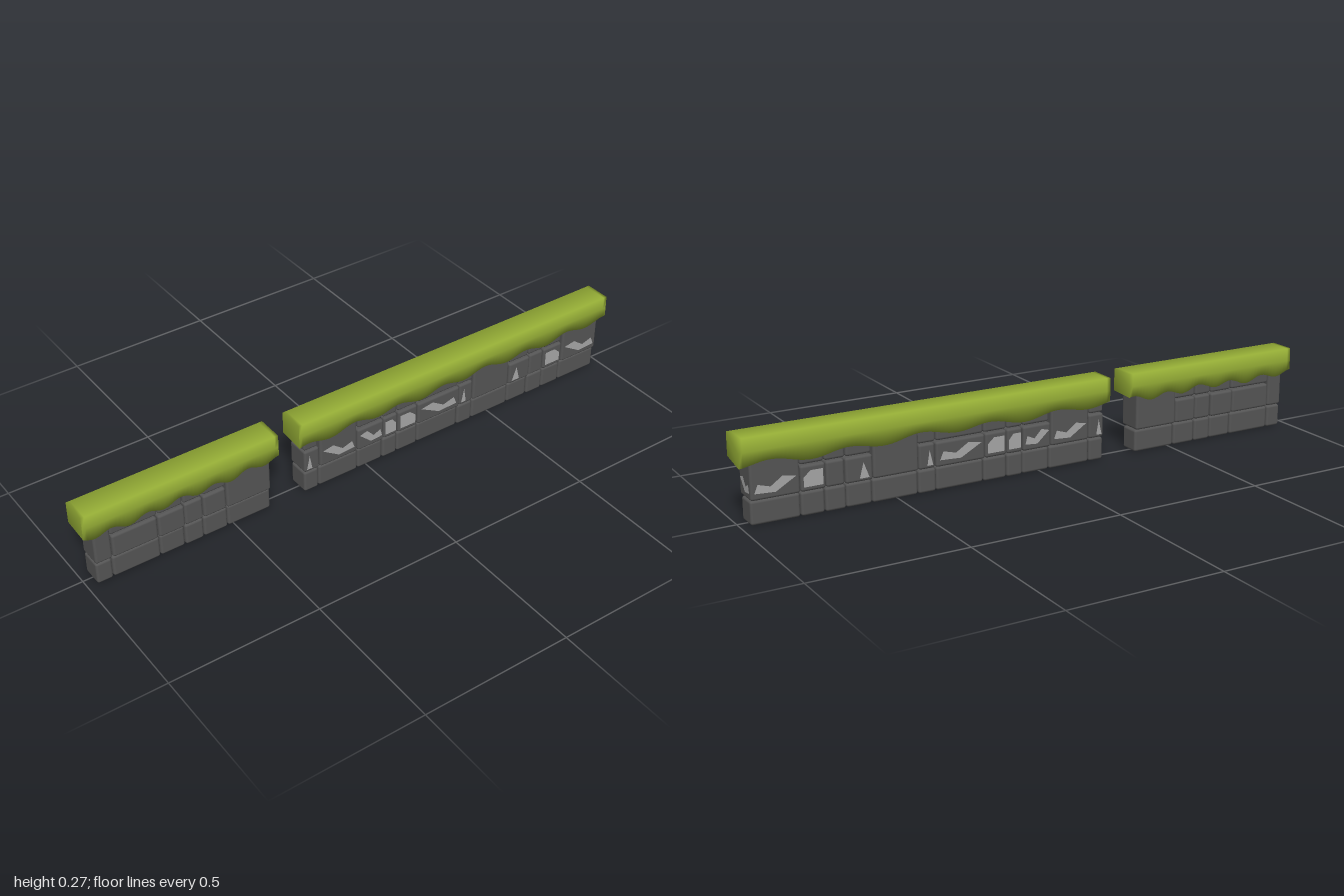
import * as THREE from 'three';
import { RoundedBoxGeometry } from 'three/addons/geometries/RoundedBoxGeometry.js';

const stoneMat = new THREE.MeshStandardMaterial({ color: 0x555555 });
const patchMat = new THREE.MeshStandardMaterial({ color: 0xa6a6a6, side: THREE.DoubleSide });
const mossMat = new THREE.MeshStandardMaterial({ color: 0x93ab35 });
const GAP = 0.0025;
const COURSE = 0.077;

// Worn patch outlines in fractions of a stone
const shard = [0.08, 0.75, 0.5, 0.25, 0.92, 0.3, 0.85, 0.65, 0.6, 0.5, 0.35, 0.85];
const slab = [0.12, 0.2, 0.88, 0.2, 0.88, 0.6, 0.6, 0.85, 0.12, 0.85];
const chip = [0.15, 0.15, 0.5, 0.15, 0.35, 0.8];

// A drip wave is { period, low }: its spacing and the x of one lowest point
const shortWall = {
  name: 'shortWall', mossStart: -1, mossEnd: -0.335,
  joints: [-0.97, -0.915, -0.755, -0.67, -0.605, -0.52, -0.365],
  tall: [0, 5], worn: [],
  front: { period: 0.115, low: -0.85 }, back: { period: 0.13, low: -0.81 }
};
const longWall = {
  name: 'longWall', mossStart: -0.26, mossEnd: 1,
  joints: [-0.24, -0.185, -0.035, 0.062, 0.12, 0.203, 0.368, 0.43, 0.583, 0.668, 0.736, 0.813, 0.97],
  tall: [1, 7, 11],
  worn: [chip, shard, shard, slab, slab, shard, chip, null, chip, null, slab, shard],
  front: { period: 0.175, low: 0.21 }, back: { period: 0.24, low: 0.06 }
};

function addStone(group, name, x0, x1, y0, y1, half) {
  const geo = new RoundedBoxGeometry(x1 - x0 - GAP, y1 - y0 - GAP, half * 2, 2, 0.008);
  const stone = new THREE.Mesh(geo, stoneMat);
  stone.position.set((x0 + x1) / 2, (y0 + y1) / 2, 0);
  stone.name = name;
  group.add(stone);
}

// Flat polygon from fractions, as wide as asked and one course high
function addPatch(group, outline, width, x, z, turn = 0) {
  const points = [];
  for (let i = 0; i < outline.length; i += 2) {
    points.push(new THREE.Vector2(outline[i] * width, outline[i + 1] * COURSE));
  }
  const patch = new THREE.Mesh(new THREE.ShapeGeometry(new THREE.Shape(points)), patchMat);
  patch.name = 'wornPatch';
  patch.rotation.y = turn;
  patch.position.set(x, COURSE, z);
  group.add(patch);
}

// Height of the dripping lower edge at x
function dripHeight({ period, low }, x) {
  const phase = (x - low) / period * Math.PI * 2;
  return 0.188 - 0.009 * Math.cos(phase) - 0.003 * Math.cos(phase * 0.37);
}

// Moss blanket: loops of six corners along x, with a dripping lower edge
function mossGeometry({ mossStart, mossEnd, front, back }) {
  const length = mossEnd - mossStart;
  const steps = Math.round(length / 0.0125), pos = [], index = [];
  for (let i = 0; i <= steps; i++) {
    const x = mossStart + length * i / steps;
    pos.push(x, 0.273, 0.045, x, 0.23, 0.046, x, dripHeight(front, x), 0.046);
    pos.push(x, dripHeight(back, x), -0.045, x, 0.23, -0.045, x, 0.273, -0.044);
  }
  for (let i = 0; i < steps; i++) {
    for (let j = 0; j < 6; j++) {
      const a = i * 6 + j, b = i * 6 + (j + 1) % 6;
      index.push(a, b, a + 6, b, b + 6, a + 6);
    }
  }
  // End caps, fanned from the top front corner
  const end = steps * 6;
  for (let j = 1; j < 5; j++) {
    index.push(0, j + 1, j, end, end + j, end + j + 1);
  }
  const geo = new THREE.BufferGeometry();
  geo.setAttribute('position', new THREE.Float32BufferAttribute(pos, 3));
  geo.setIndex(index);
  geo.computeVertexNormals();
  return geo;
}

function buildWall(spec) {
  const wall = new THREE.Group();
  wall.name = spec.name;
  const { joints, tall, worn } = spec;
  const last = joints.length - 1;
  // Inner joints of the middle course wander a little from the base
  const shifted = joints.map((x, i) => (i === 0 || i === last ? x : x + 0.004 * Math.sin(i * 2.3)));

  for (let i = 0; i < last; i++) {
    addStone(wall, 'baseStone', joints[i], joints[i + 1], 0, COURSE, 0.037 - (i % 3) * 0.001);

    const x0 = shifted[i], x1 = shifted[i + 1];
    const half = 0.04 + (i % 3) * 0.0015;
    const isTall = tall.includes(i);
    addStone(wall, 'middleStone', x0, x1, COURSE, isTall ? 0.22 : 0.16, half);
    if (!isTall) addStone(wall, 'upperStone', joints[i], joints[i + 1], 0.16, 0.22, 0.037);

    if (worn[i]) {
      for (const side of [1, -1]) addPatch(wall, worn[i], x1 - x0, x0, side * (half + 0.0006));
    }
  }

  const moss = new THREE.Mesh(mossGeometry(spec), mossMat);
  moss.name = 'mossCap';
  wall.add(moss);
  return wall;
}

export function createModel() {
  const model = new THREE.Group();
  model.name = 'mossyStoneWall';
  const long = buildWall(longWall);
  // Worn patch on the outer end stone
  addPatch(long, shard, 0.08, 0.97 - GAP / 2 + 0.0006, 0.04, Math.PI / 2);
  model.add(buildWall(shortWall), long);
  return model;
}
